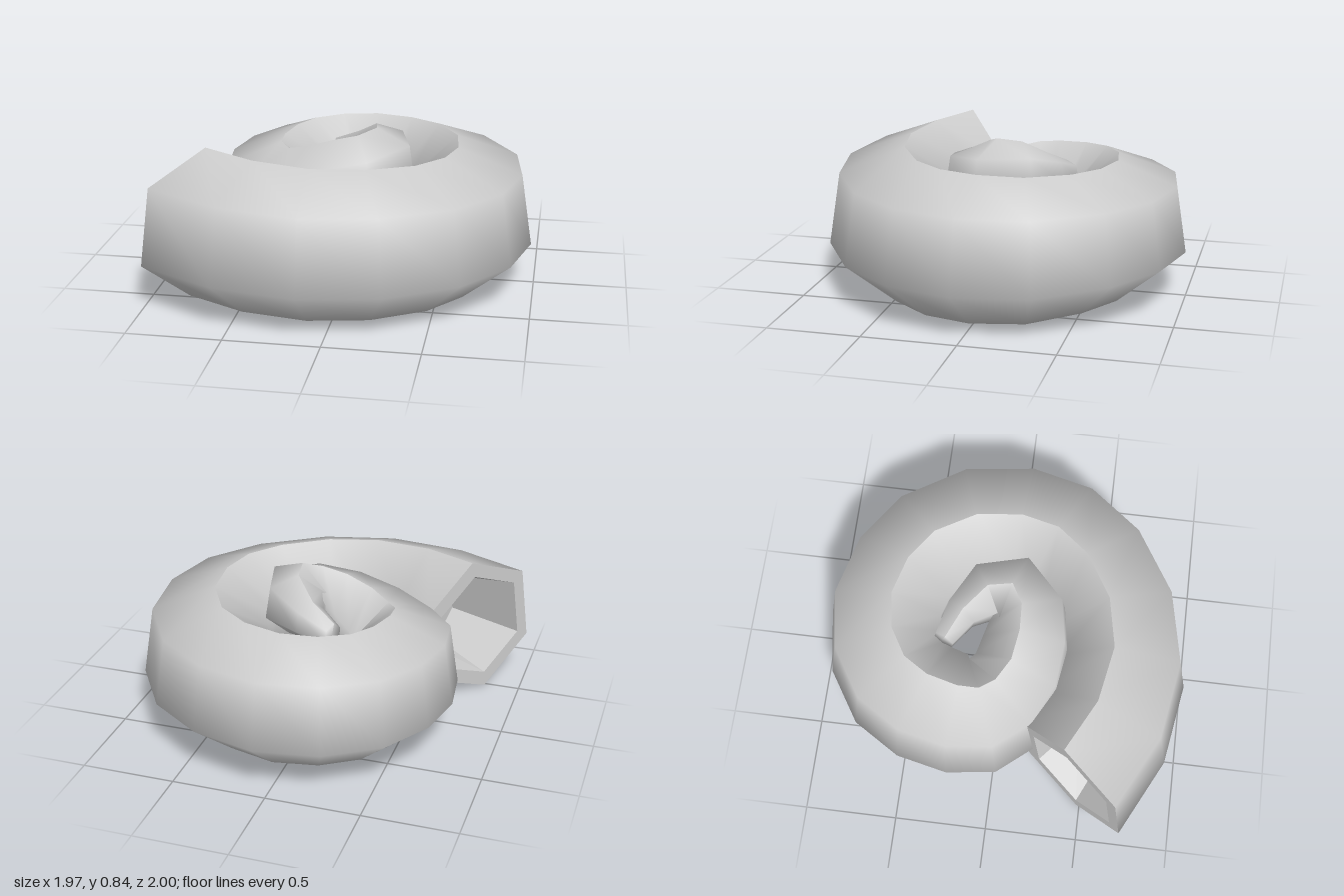
import * as THREE from 'three';

// Whorl centre line from mouth to tip: x, y, z, section scale
const stations = [
  [-0.785, 0.40, 0.46, 1.0], [-0.47, 0.395, 0.62, 0.985], [-0.13, 0.39, 0.68, 0.97],
  [0.18, 0.385, 0.62, 0.96], [0.45, 0.38, 0.46, 0.95], [0.61, 0.38, 0.26, 0.945],
  [0.67, 0.378, 0.02, 0.94], [0.64, 0.38, -0.26, 0.92], [0.49, 0.392, -0.51, 0.885],
  [0.29, 0.393, -0.65, 0.87], [0.05, 0.393, -0.715, 0.865], [-0.18, 0.393, -0.68, 0.855],
  [-0.36, 0.392, -0.57, 0.845], [-0.46, 0.39, -0.41, 0.835], [-0.505, 0.387, -0.22, 0.82],
  [-0.495, 0.385, -0.07, 0.80], [-0.41, 0.39, 0.04, 0.76], [-0.27, 0.45, 0.12, 0.70],
  [-0.1, 0.52, 0.145, 0.65], [0.06, 0.57, 0.13, 0.60], [0.185, 0.63, 0.03, 0.53],
  [0.15, 0.66, -0.14, 0.42], [0.01, 0.64, -0.26, 0.26], [-0.14, 0.61, -0.33, 0.16],
];

// Tilted hexagon, starting and ending at the ridge seam: outward offset, height
const section = [
  [-0.105, 0.40], [-0.405, 0.15], [-0.34, -0.26], [0.03, -0.40], [0.33, -0.15], [0.265, 0.26], [-0.105, 0.40],
];

const path = new THREE.CatmullRomCurve3(stations.map(([x, y, z]) => new THREE.Vector3(x, y, z)));
const scale = new THREE.CatmullRomCurve3(
  stations.map((p, i) => new THREE.Vector3(p[3], i * 0.1, 0)), false, 'catmullrom', 0.5);

// Hexagonal ring across the path at t, shrunk by a factor
function ring(t, factor = 1) {
  const c = path.getPoint(t);
  const tan = path.getTangent(t);
  const n = t === 0 ? new THREE.Vector3(-0.62, 0, 0.785) : new THREE.Vector3(-tan.z, 0, tan.x).normalize();
  const s = scale.getPoint(t).x * factor;
  return section.map(([r, h]) => [c.x + n.x * r * s, c.y + h * s, c.z + n.z * r * s]);
}

// Skin over a list of rings, left creased along the ridge seam
function loft(rings, inward) {
  const count = section.length;
  const index = [];
  for (let i = 0; i < rings.length - 1; i++) {
    for (let j = 0; j < count - 1; j++) {
      const a = i * count + j, b = a + 1, c = a + count, d = c + 1;
      if (inward) index.push(a, b, c, b, d, c);
      else index.push(a, c, b, b, c, d);
    }
  }
  const g = new THREE.BufferGeometry();
  g.setAttribute('position', new THREE.Float32BufferAttribute(rings.flat(2), 3));
  g.setIndex(index);
  g.computeVertexNormals();
  return g;
}

export function createModel() {
  const group = new THREE.Group();
  group.name = 'spiralShell';

  // Coiled body, closed at the tip
  const rings = [];
  const steps = stations.length - 1;
  for (let i = 0; i <= steps; i++) rings.push(ring(i / steps));
  rings.push(ring(1, 0));
  const body = new THREE.Mesh(loft(rings, false), new THREE.MeshStandardMaterial({ color: 0xcccccc }));
  body.name = 'coiledBody';
  group.add(body);

  // Flat rim and tapering recess of the mouth
  const mouth = new THREE.Mesh(
    loft([ring(0), ring(0, 0.78), ring(0.043, 0.55), ring(0.043, 0)], true),
    new THREE.MeshStandardMaterial({ color: 0xcccccc, flatShading: true }));
  mouth.name = 'mouth';
  group.add(mouth);

  return group;
}
